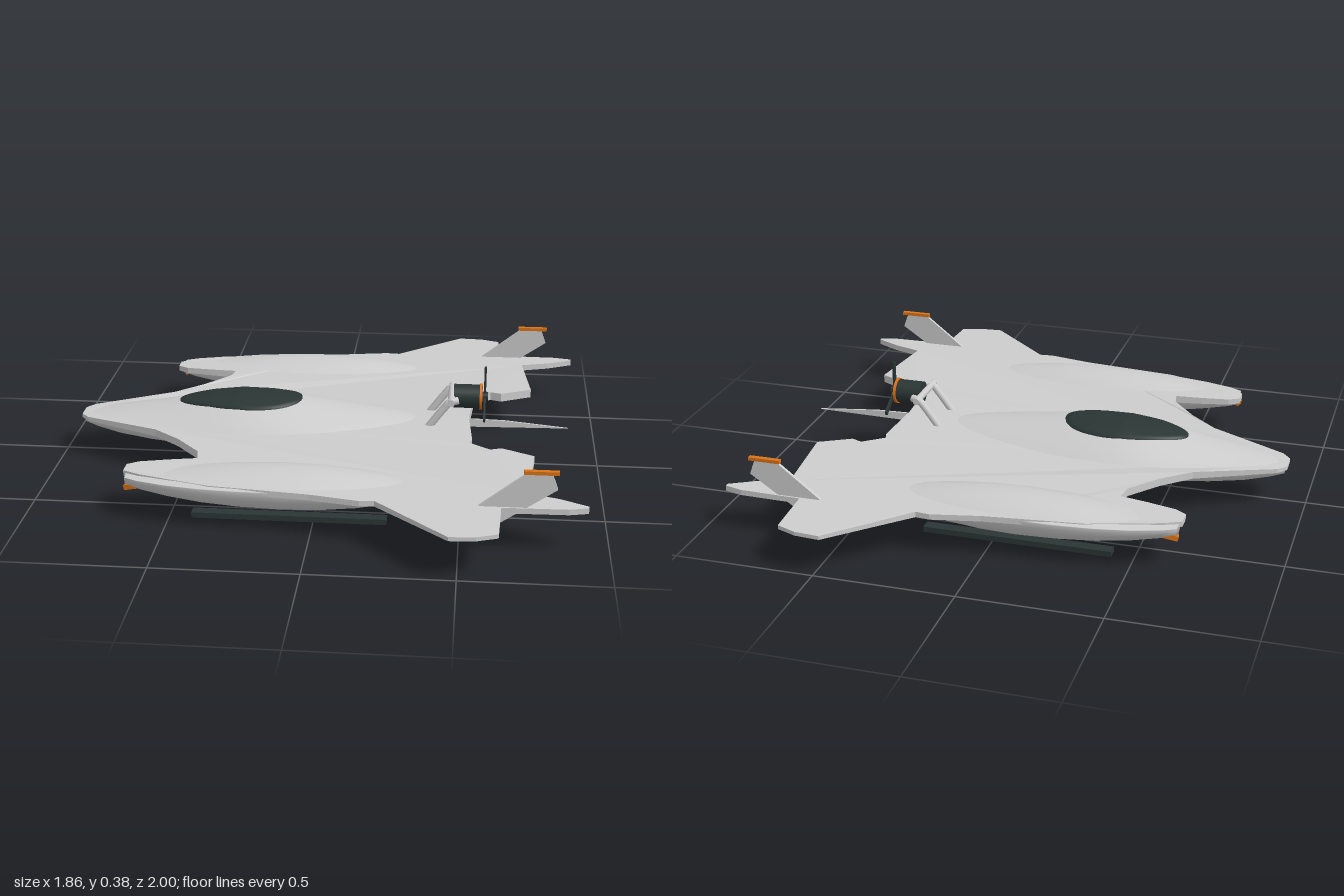
import * as THREE from 'three';

const mat = (name, color) => {
  const m = new THREE.MeshStandardMaterial({ color });
  m.name = name;
  return m;
};

function indexed(pos, idx) {
  const g = new THREE.BufferGeometry();
  g.setAttribute('position', new THREE.Float32BufferAttribute(pos, 3));
  g.setIndex(idx);
  g.computeVertexNormals();
  return g;
}

const MID = 0.15; // height of the widest line of hull and pods
// Stations: x, half width, bottom, top
const HULL = [
  [-0.92, 0.001, 0.14, 0.15], [-0.918, 0.045, 0.112, 0.15], [-0.87, 0.075, 0.098, 0.155],
  [-0.78, 0.115, 0.08, 0.171], [-0.66, 0.152, 0.066, 0.19], [-0.55, 0.178, 0.058, 0.21],
  [-0.44, 0.197, 0.053, 0.234], [-0.33, 0.208, 0.05, 0.247], [-0.22, 0.21, 0.05, 0.244],
  [-0.1, 0.207, 0.052, 0.229], [0.02, 0.192, 0.057, 0.212], [0.14, 0.165, 0.065, 0.198],
  [0.26, 0.125, 0.075, 0.183], [0.36, 0.08, 0.087, 0.168], [0.43, 0.045, 0.098, 0.155],
  [0.47, 0.001, 0.13, 0.15],
];
const POD = [
  [-0.65, 0.001, 0.14, 0.15], [-0.648, 0.04, 0.112, 0.15], [-0.6, 0.065, 0.1, 0.152],
  [-0.5, 0.095, 0.082, 0.16], [-0.38, 0.117, 0.066, 0.175], [-0.25, 0.128, 0.056, 0.19],
  [-0.1, 0.131, 0.051, 0.196], [0.03, 0.125, 0.054, 0.193], [0.15, 0.108, 0.063, 0.183],
  [0.26, 0.08, 0.079, 0.168], [0.34, 0.05, 0.1, 0.155], [0.4, 0.001, 0.135, 0.15],
];

// Rounded belly below, softer parabolic hump above
function loft(stations, n = 40) {
  const pos = [], idx = [];
  stations.forEach(([x, w, bottom, top], i) => {
    for (let j = 0; j < n; j++) {
      const a = (j / n) * Math.PI * 2, s = Math.sin(a);
      pos.push(x, MID + (s > 0 ? (top - MID) * s * s : (MID - bottom) * s), w * Math.cos(a));
      if (i < stations.length - 1) {
        const p = i * n + j, q = i * n + (j + 1) % n;
        idx.push(p, p + n, q, q, p + n, q + n);
      }
    }
  });
  return indexed(pos, idx);
}

// Height of the hull's upper skin
function hullTop(x, z) {
  const i = HULL.findIndex((s) => s[0] > x);
  const a = HULL[i - 1], b = HULL[i], t = (x - a[0]) / (b[0] - a[0]);
  const w = a[1] + (b[1] - a[1]) * t, top = a[3] + (b[3] - a[3]) * t;
  return MID + (top - MID) * (1 - (z / w) ** 2);
}

// Canopy: thin oval skin following the hull
function canopyGeometry(rings = 10, n = 48) {
  const pos = [], idx = [];
  for (let i = 0; i <= rings + 1; i++) {
    const r = Math.min(i / rings, 1), lift = i > rings ? -0.006 : 0.007;
    for (let j = 0; j < n; j++) {
      const a = (j / n) * Math.PI * 2, c = Math.cos(a);
      const x = -0.33 + 0.23 * r * c;
      const z = 0.111 * r * Math.sin(a) * (1 + 0.22 * c);
      pos.push(x, hullTop(x, z) + lift, z);
      if (i <= rings) {
        const p = i * n + j, q = i * n + (j + 1) % n;
        idx.push(p, q, p + n, q, q + n, p + n);
      }
    }
  }
  return indexed(pos, idx);
}

// Half of the deck, outline as x, z
const DECK = [
  [-0.93, 0], [-0.93, 0.035], [-0.9, 0.07], [-0.62, 0.2], [-0.52, 0.29], [-0.43, 0.4], [-0.42, 0.46],
  [-0.52, 0.475], [-0.62, 0.495], [-0.66, 0.52], [-0.66, 0.575], [-0.6, 0.605], [-0.5, 0.64],
  [-0.35, 0.685], [0, 0.725], [0.17, 0.76], [0.22, 0.755], [0.47, 1], [0.56, 0.993], [0.63, 0.965],
  [0.638, 0.77], [0.86, 0.765], [0.925, 0.748], [0.925, 0.735], [0.83, 0.685], [0.725, 0.65],
  [0.755, 0.34], [0.64, 0.28], [0.6, 0.295], [0.525, 0.24], [0.535, 0.21], [0.52, 0],
];
function deckGeometry() {
  const shape = new THREE.Shape(DECK.map(([x, z]) => new THREE.Vector2(x, -z)));
  const g = new THREE.ExtrudeGeometry(shape, { depth: 1, bevelEnabled: false }).rotateX(-Math.PI / 2);
  const p = g.attributes.position;
  for (let i = 0; i < p.count; i++) {
    const rise = 0.025 * (1 - Math.abs(p.getZ(i))) * Math.min(1, (p.getX(i) + 0.93) * 2);
    p.setY(i, p.getY(i) > 0.5 ? 0.152 + rise : 0.138);
  }
  g.computeVertexNormals();
  return g;
}

// Flat plate in the x, y plane
function plate(points, thick) {
  const shape = new THREE.Shape(points.map(([x, y]) => new THREE.Vector2(x, y)));
  return new THREE.ExtrudeGeometry(shape, { depth: thick, bevelEnabled: false }).translate(0, 0, -thick / 2);
}

export function createModel() {
  const grey = mat('light grey', 0xcdcdcd);
  const dark = mat('dark slate', 0x2a3634);
  const orange = mat('orange', 0xdc7418);
  const model = new THREE.Group();
  model.name = 'hovercraft';

  const add = (parent, name, geo, material, x = 0, y = 0, z = 0) => {
    const m = new THREE.Mesh(geo, material);
    m.name = name;
    m.position.set(x, y, z);
    parent.add(m);
    return m;
  };

  add(model, 'hull', loft(HULL), grey);
  add(model, 'canopy', canopyGeometry(), dark);

  // Everything that comes in pairs
  for (const side of [1, -1]) {
    const half = new THREE.Group();
    half.name = side > 0 ? 'leftHalf' : 'rightHalf';
    half.scale.z = side;
    model.add(half);
    add(half, 'deck', deckGeometry(), grey);
    add(half, 'pod', loft(POD, 32), grey, 0, 0, 0.58);
    add(half, 'skid', new THREE.BoxGeometry(0.675, 0.02, 0.042), dark, -0.085, 0.01, 0.578);

    const strip = add(half, 'podStrip', new THREE.BoxGeometry(0.15, 0.018, 0.03), orange, -0.58, 0.126, 0.612);
    strip.rotation.set(0, -0.24, 0.25);

    add(half, 'tailFin', plate([[0.47, 0.1], [0.635, 0.1], [0.82, 0.225], [0.8, 0.28], [0.72, 0.28], [0.54, 0.14]], 0.012),
      grey, 0, 0, 0.757);
    add(half, 'finCap', new THREE.BoxGeometry(0.115, 0.012, 0.018), orange, 0.765, 0.282, 0.757);

    // Bent motor strut
    const path = new THREE.CatmullRomCurve3([
      new THREE.Vector3(0.37, 0.16, 0.078), new THREE.Vector3(0.43, 0.24, 0.078),
      new THREE.Vector3(0.45, 0.262, 0.078), new THREE.Vector3(0.48, 0.266, 0.07),
    ]);
    add(half, 'motorStrut', new THREE.TubeGeometry(path, 16, 0.014, 10), grey);
  }

  add(model, 'strutBar', new THREE.CylinderGeometry(0.013, 0.013, 0.2, 12).rotateX(Math.PI / 2), grey, 0.455, 0.265, 0);

  // Motor and propeller
  const axis = (r, len) => new THREE.CylinderGeometry(r, r, len, 28).rotateZ(Math.PI / 2);
  add(model, 'motor', axis(0.044, 0.105), dark, 0.515, 0.26, 0);
  add(model, 'motorRing', axis(0.048, 0.01), orange, 0.562, 0.26, 0);
  add(model, 'propellerHub', axis(0.018, 0.03), dark, 0.573, 0.26, 0);
  for (let i = 0; i < 3; i++) {
    const blade = new THREE.BoxGeometry(0.008, 0.115, 0.017).translate(0, 0.0575, 0);
    add(model, 'propellerBlade', blade, dark, 0.576, 0.26, 0).rotation.x = (i * Math.PI * 2) / 3;
  }

  // Slender rear fin
  add(model, 'rearSpike', plate([[0.48, 0.14], [0.885, 0.146], [0.65, 0.168], [0.48, 0.172]], 0.008), grey);
  return model;
}
